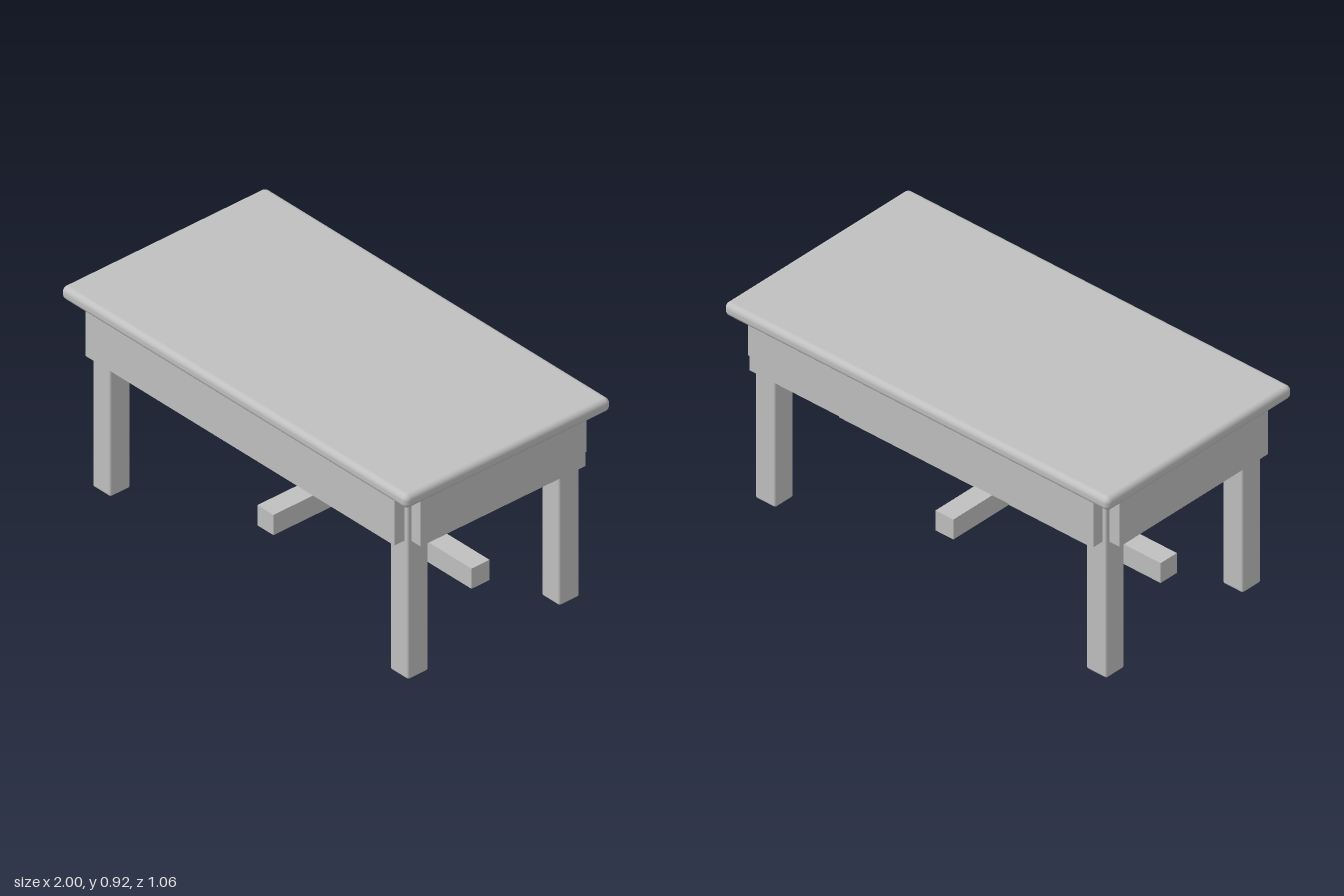
import * as THREE from 'three';
import { RoundedBoxGeometry } from 'three/addons/geometries/RoundedBoxGeometry.js';

export function createModel() {
  const table = new THREE.Group();
  table.name = 'table';
  const grey = new THREE.MeshStandardMaterial({ color: 0xc0c0c0 });
  grey.name = 'light grey';

  // Box of size w, h, d with its base at y; a radius rounds its edges
  function block(name, w, h, d, x, y, z, radius = 0) {
    const geometry = radius
      ? new RoundedBoxGeometry(w, h, d, 4, radius)
      : new THREE.BoxGeometry(w, h, d);
    const mesh = new THREE.Mesh(geometry, grey);
    mesh.name = name;
    mesh.position.set(x, y + h / 2, z);
    table.add(mesh);
  }

  // Top with softly rounded edges
  block('tableTop', 2, 0.061, 1.058, 0, 0.857, 0, 0.025);

  // Four legs
  for (const [xName, sx] of [['Left', 1], ['Right', -1]]) {
    for (const [zName, sz] of [['front', 1], ['back', -1]]) {
      block(zName + xName + 'Leg', 0.105, 0.857, 0.105, sx * 0.86, 0, sz * 0.39, 0.01);
    }
  }

  // Apron boards fixed to the outside of the legs, open at the corners
  for (const s of [1, -1]) {
    block(s > 0 ? 'frontApron' : 'backApron', 1.786, 0.209, 0.053, 0, 0.633, s * 0.469);
    block(s > 0 ? 'leftApron' : 'rightApron', 0.053, 0.209, 0.85, s * 0.939, 0.633, 0);
  }

  // Crossed stretchers: one long bar and two arms meeting it
  block('longStretcher', 1.67, 0.093, 0.093, 0, 0.21, 0);
  for (const s of [1, -1]) {
    block(s > 0 ? 'frontStretcherArm' : 'backStretcherArm', 0.093, 0.093, 0.3175, 0, 0.21, s * 0.20525);
  }

  return table;
}
